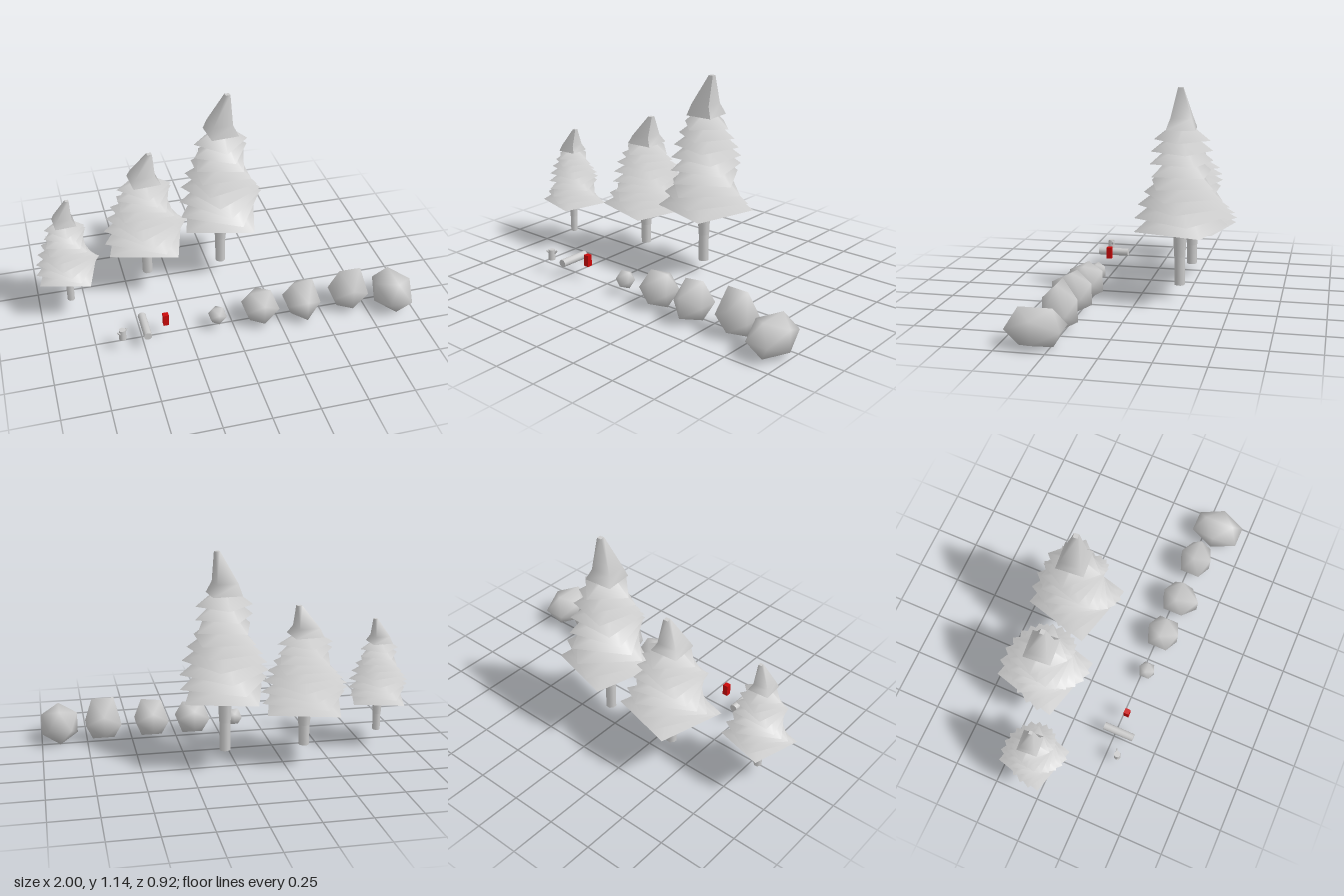
import * as THREE from 'three';
import { mergeVertices } from 'three/addons/utils/BufferGeometryUtils.js';

const grey = new THREE.MeshStandardMaterial({ color: 0xcccccc, side: THREE.DoubleSide });
const red = new THREE.MeshStandardMaterial({ color: 0xcc0808 });

function add(parent, name, geometry, x = 0, y = 0, z = 0, material = grey) {
  const mesh = new THREE.Mesh(geometry, material);
  mesh.name = name;
  mesh.position.set(x, y, z);
  parent.add(mesh);
  return mesh;
}

// Tapered prism standing on its base
function prism(rTop, rBottom, h, sides, turn = 0, rows = 1) {
  return new THREE.CylinderGeometry(rTop, rBottom, h, sides, rows, false, turn).translate(0, h / 2, 0);
}

// Crooked crown: narrows quickly, then leans towards +x
function crownGeometry() {
  const rows = [[0, 0.108, 0], [0.06, 0.078, -0.005], [0.22, 0.018, 0.036]];
  const g = prism(1, 1, 2, 4, Math.PI / 4 + 0.08, 2);
  const p = g.attributes.position;
  for (let i = 0; i < p.count; i++) {
    const [y, r, lean] = rows[Math.round(p.getY(i))];
    p.setXYZ(i, p.getX(i) * r + lean, y, p.getZ(i) * r);
  }
  g.computeVertexNormals();
  return g;
}

// Fir tree: two-part trunk, nine square skirts in a spiral, crown
function addTree(parent, x, z, width, height) {
  const tree = new THREE.Group();
  tree.name = 'firTree';
  add(tree, 'lowerTrunk', prism(0.029, 0.029, 0.155, 8, Math.PI / 8));
  add(tree, 'upperTrunk', prism(0.038, 0.031, 0.17, 8, Math.PI / 8), 0, 0.155);
  for (let i = 0; i < 9; i++) {
    const r = 0.265 - i * 0.0145;
    const turn = THREE.MathUtils.degToRad(30 + i * 75);
    add(tree, 'branchTier', prism(r - 0.125, r, 0.1, 4, turn), 0.004, 0.31 + i * 0.059, -0.008);
  }
  add(tree, 'crown', crownGeometry(), 0.004, 0.84, -0.005);
  tree.position.set(x, 0.08, z);
  tree.scale.set(width, height, width);
  parent.add(tree);
}

// Smooth-shaded icosahedral stone; halves are its half extents,
// raise lifts the upper points and push draws out the front ones
function addRock(parent, pos, halves, { turn = 0, raise = 0, push = 0, tilt = 0 } = {}) {
  let g = new THREE.IcosahedronGeometry(1.1756, 0);
  g.deleteAttribute('normal');
  g.deleteAttribute('uv');
  g = mergeVertices(g).rotateY(turn).scale(...halves);
  const p = g.attributes.position;
  for (let i = 0; i < p.count; i++) {
    const y = p.getY(i), z = p.getZ(i);
    if (y > halves[1] * 0.9) p.setY(i, y + raise + tilt * p.getX(i));
    if (z > halves[2] * 0.9) p.setZ(i, z + push);
  }
  g.computeVertexNormals();
  add(parent, 'rock', g, ...pos);
}

export function createModel() {
  const model = new THREE.Group();
  model.name = 'forestSet';

  addTree(model, 0.057, -0.215, 1, 1);
  addTree(model, -0.373, -0.215, 1, 0.72);
  addTree(model, -0.83, -0.072, 0.72, 0.6);

  // Row of rocks, in half extents
  addRock(model, [-0.088, 0.083, 0.275], [0.045, 0.046, 0.045]);
  addRock(model, [0.152, 0.1, 0.275], [0.092, 0.092, 0.09]);
  addRock(model, [0.386, 0.1, 0.275], [0.092, 0.092, 0.09], { raise: 0.025, push: 0.03, tilt: 0.12 });
  addRock(model, [0.658, 0.1, 0.275], [0.098, 0.092, 0.09], { raise: 0.053 });
  addRock(model, [0.9, 0.094, 0.322], [0.1, 0.094, 0.137], { turn: Math.PI / 2 });

  // Red block
  add(model, 'redBlock', new THREE.BoxGeometry(0.03, 0.065, 0.03), -0.372, 0.115, 0.273, red);

  // Fallen log
  add(model, 'log', new THREE.CylinderGeometry(0.022, 0.022, 0.175, 12).rotateX(Math.PI / 2), -0.485, 0.092, 0.273);

  // Stump with a twig on each side
  const stump = new THREE.Group();
  stump.name = 'stump';
  add(stump, 'stumpBody', prism(0.018, 0.02, 0.06, 8));
  for (const s of [-1, 1]) {
    const twig = add(stump, 'twig', prism(0.005, 0.007, 0.022, 6), s * 0.012, 0.038, -s * 0.008);
    twig.rotation.set(-s * 0.4, 0, -s * 0.7);
  }
  stump.position.set(-0.613, 0.07, 0.318);
  model.add(stump);

  return model;
}
